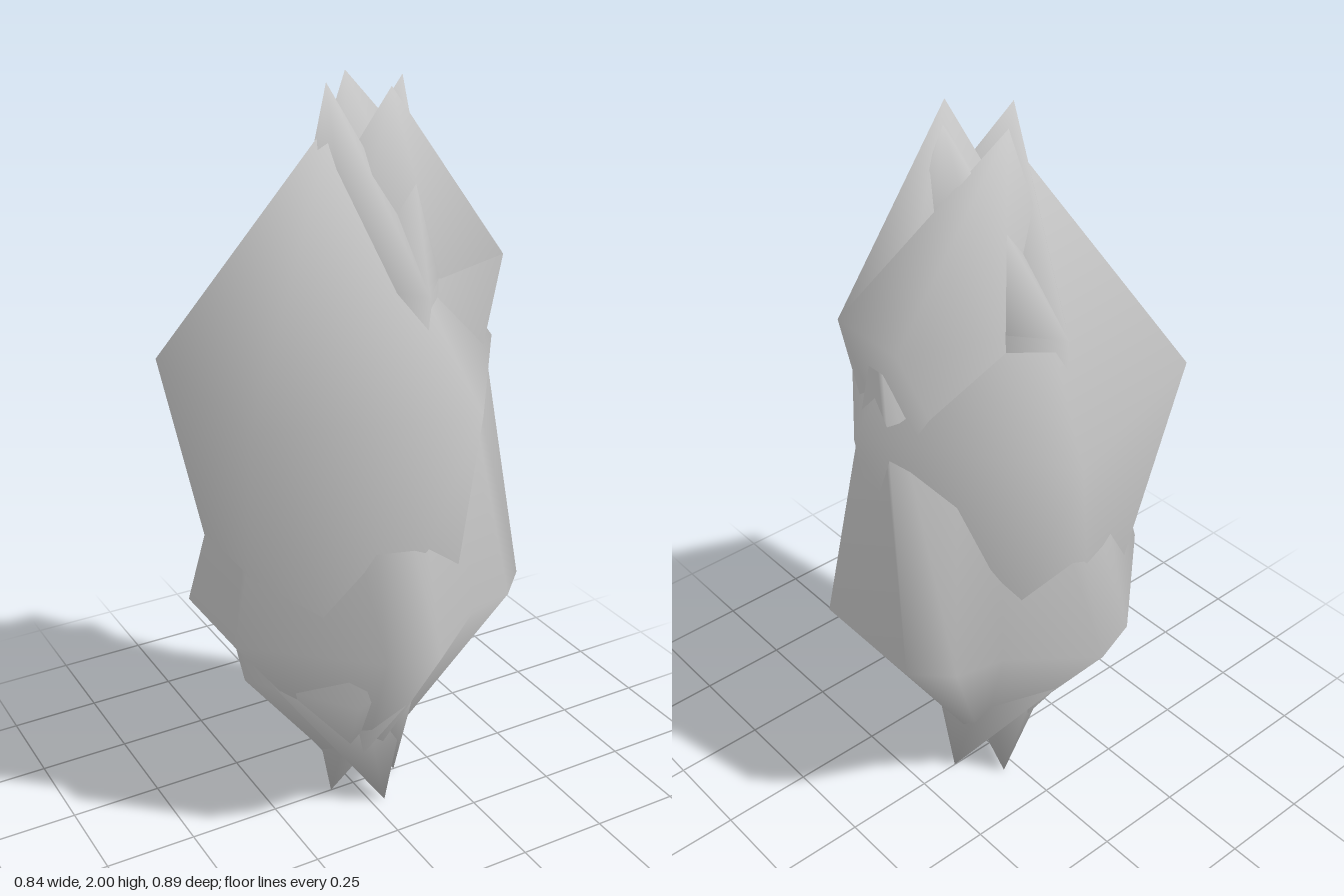
import * as THREE from 'three';

const material = new THREE.MeshStandardMaterial({ color: 0xcccccc });

// Closed gem: top point, stacked rings (counter-clockwise from above), bottom point
function gem(name, top, rings, bottom) {
  const n = rings[0].points.length;
  const positions = [...top];
  for (const { y, points } of rings) {
    for (const [x, z] of points) positions.push(x, y, z);
  }
  positions.push(...bottom);
  const last = positions.length / 3 - 1;
  const index = [];
  for (let i = 0; i < n; i++) {
    const j = (i + 1) % n;
    index.push(0, 1 + i, 1 + j);
    for (let r = 0; r < rings.length - 1; r++) {
      const a = 1 + r * n, b = a + n;
      index.push(a + i, b + i, b + j, a + i, b + j, a + j);
    }
    const base = last - n;
    index.push(last, base + j, base + i);
  }
  const geometry = new THREE.BufferGeometry();
  geometry.setAttribute('position', new THREE.Float32BufferAttribute(positions, 3));
  geometry.setIndex(index);
  geometry.computeVertexNormals();
  const mesh = new THREE.Mesh(geometry, material);
  mesh.name = name;
  return mesh;
}

// Regular pentagon about (cx, 0)
function pentagon(cx, radius, turn) {
  return Array.from({ length: 5 }, (_, i) => {
    const a = turn + (i * 2 * Math.PI) / 5;
    return [cx + radius * Math.cos(a), -radius * Math.sin(a)];
  });
}

// Mirror a half outline (z <= 0, from +x to -x) to the other side
function mirrored(half) {
  const back = half.filter(([, z]) => z !== 0).reverse().map(([x, z]) => [x, -z]);
  return [...half, ...back];
}

// Smaller ring turned half round about the vertical line x = 0.02
function turned(points, scale) {
  const half = points.length / 2;
  const flipped = points.map(([x, z]) => [0.02 + (0.02 - x) * scale, -z * scale]);
  return [...flipped.slice(half), ...flipped.slice(0, half)];
}

export function createModel() {
  const group = new THREE.Group();
  group.name = 'crystalCluster';

  // Large crystal, widest in its upper half
  group.add(gem('upperCrystal', [-0.045, 1.93, 0], [
    { y: 1.29, points: pentagon(-0.045, 0.466, 0) },
    { y: 0.45, points: pentagon(-0.045, 0.285, -Math.PI / 5) },
  ], [-0.03, 0.06, 0]));

  // Large crystal, widest in its lower half
  group.add(gem('lowerCrystal', [0.05, 1.85, 0], [
    { y: 1.55, points: mirrored([[0.34, -0.01], [0.2, -0.12], [0.12, -0.17], [0.02, -0.19], [-0.1, -0.17], [-0.2, -0.06]]) },
    { y: 0.655, points: mirrored([[0.42, -0.165], [0.33, -0.255], [0.2, -0.285], [0, -0.443], [-0.13, -0.4], [-0.42, -0.14]]) },
  ], [0.03, 0.03, 0]));

  // Blades spread from side to side, with points on the centre plane
  const crossRing = mirrored([[0.2, 0], [0.13, -0.19], [0.03, -0.31], [-0.09, -0.15], [-0.14, 0]]);
  // The ring has a single corner at each end, so it splits evenly in two
  for (const x of [-0.072, 0.135]) {
    group.add(gem('crossBlade', [x, 2, 0], [
      { y: 1.55, points: crossRing },
      { y: 0.45, points: turned(crossRing, 0.95) },
    ], [x, 0, 0]));
  }

  // Blades spread along the x axis, with points to either side of the centre plane
  const longRing = mirrored([[0.37, -0.11], [0.13, -0.2], [-0.1, -0.15]]);
  for (const z of [-0.11, 0.11]) {
    group.add(gem('longBlade', [0.04, 2, z], [
      { y: 1.55, points: longRing },
      { y: 0.45, points: turned(longRing, 0.85) },
    ], [0.04, 0, z]));
  }

  return group;
}
